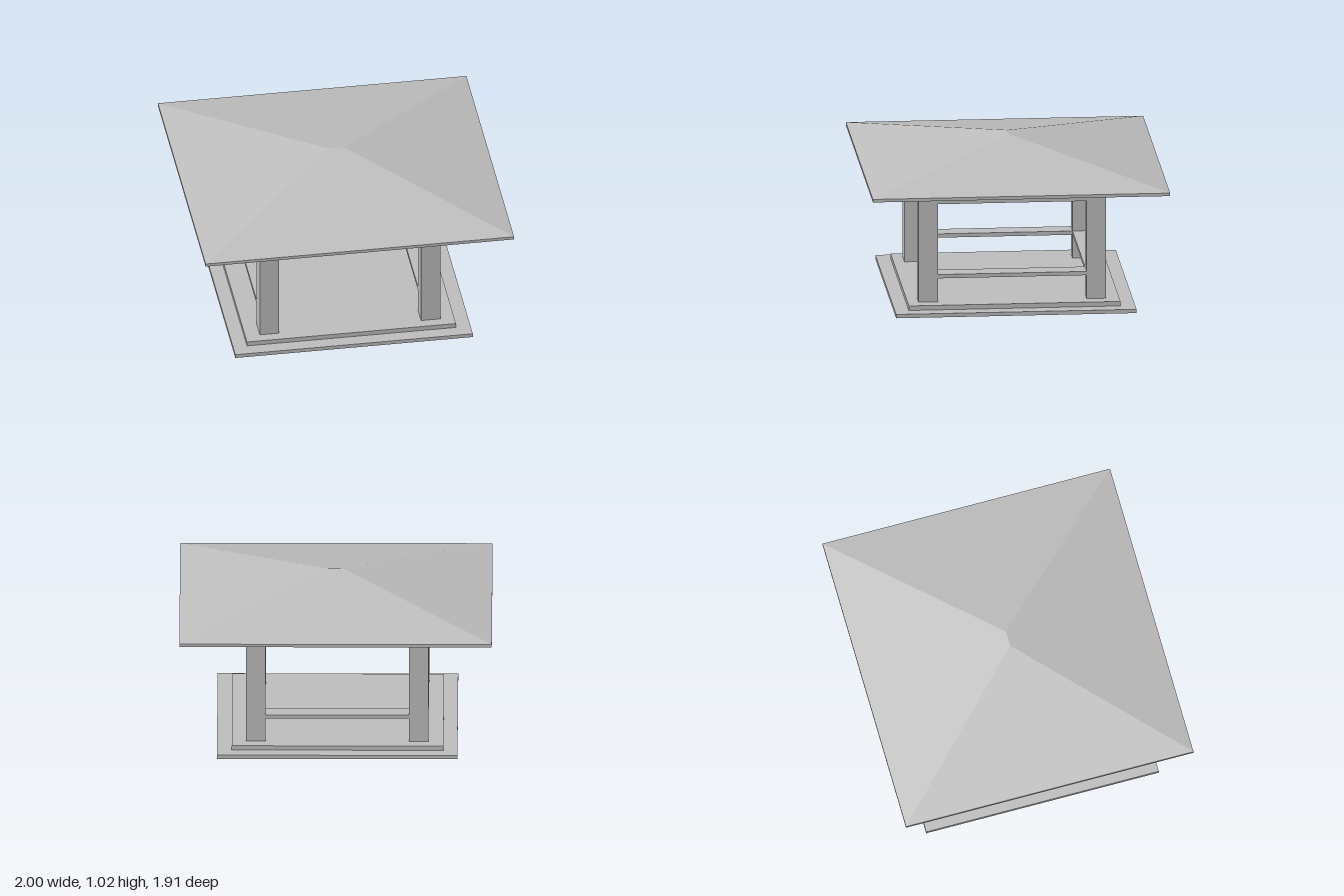
import * as THREE from 'three';

const grey = new THREE.MeshStandardMaterial({ color: 0xc0c0c0, flatShading: true });
grey.name = 'stoneGrey';

// Box given by its minimum and maximum corners
function block(name, [x0, y0, z0], [x1, y1, z1]) {
  const mesh = new THREE.Mesh(new THREE.BoxGeometry(x1 - x0, y1 - y0, z1 - z0), grey);
  mesh.position.set((x0 + x1) / 2, (y0 + y1) / 2, (z0 + z1) / 2);
  mesh.name = name;
  return mesh;
}

// Hipped shell: rectangular rings joined from the inner ridge, out over the eaves, to the outer ridge
function hipRoof(halfX, halfZ, ridge, eave, thick, peak) {
  const ring = (x, y, z) => [[-x, y, z], [x, y, z], [x, y, -z], [-x, y, -z]];
  const rings = [
    ring(ridge, peak - thick, 0),
    ring(halfX, eave - thick, halfZ),
    ring(halfX, eave, halfZ),
    ring(ridge, peak, 0),
  ];
  const points = [];
  for (let r = 0; r < rings.length - 1; r++) {
    for (let i = 0; i < 4; i++) {
      const j = (i + 1) % 4;
      const a = rings[r][i], b = rings[r][j], c = rings[r + 1][j], d = rings[r + 1][i];
      points.push(...a, ...b, ...c, ...a, ...c, ...d);
    }
  }
  const geometry = new THREE.BufferGeometry();
  geometry.setAttribute('position', new THREE.Float32BufferAttribute(points, 3));
  geometry.computeVertexNormals();
  const mesh = new THREE.Mesh(geometry, grey);
  mesh.name = 'roof';
  return mesh;
}

export function createModel() {
  const model = new THREE.Group();
  model.name = 'pavilion';

  // Stepped base
  model.add(block('lowerStep', [-0.78, 0, -0.76], [0.76, 0.025, 0.785]));
  model.add(block('upperStep', [-0.69, 0.025, -0.665], [0.665, 0.055, 0.695]));

  // Post spans along each axis: outer and inner faces
  const xs = [[-0.595, -0.47], [0.45, 0.575]];
  const zs = [[-0.58, -0.455], [0.5, 0.625]];
  for (const [x0, x1] of xs) {
    for (const [z0, z1] of zs) model.add(block('post', [x0, 0.055, z0], [x1, 0.8, z1]));
  }

  // Benches and header beams on both sides and the back; the front stays open
  for (const [name, y0, y1] of [['bench', 0.21, 0.235], ['headerBeam', 0.7, 0.8]]) {
    for (const [x0, x1] of xs) model.add(block(name, [x0, y0, -0.455], [x1, y1, 0.5]));
    model.add(block(name, [-0.47, y0, -0.58], [0.45, y1, -0.455]));
  }

  // Ceiling slab over the posts
  model.add(block('ceiling', [-0.595, 0.8, -0.58], [0.575, 0.83, 0.625]));

  model.add(hipRoof(1, 0.955, 0.05, 0.85, 0.02, 1.02));
  return model;
}
